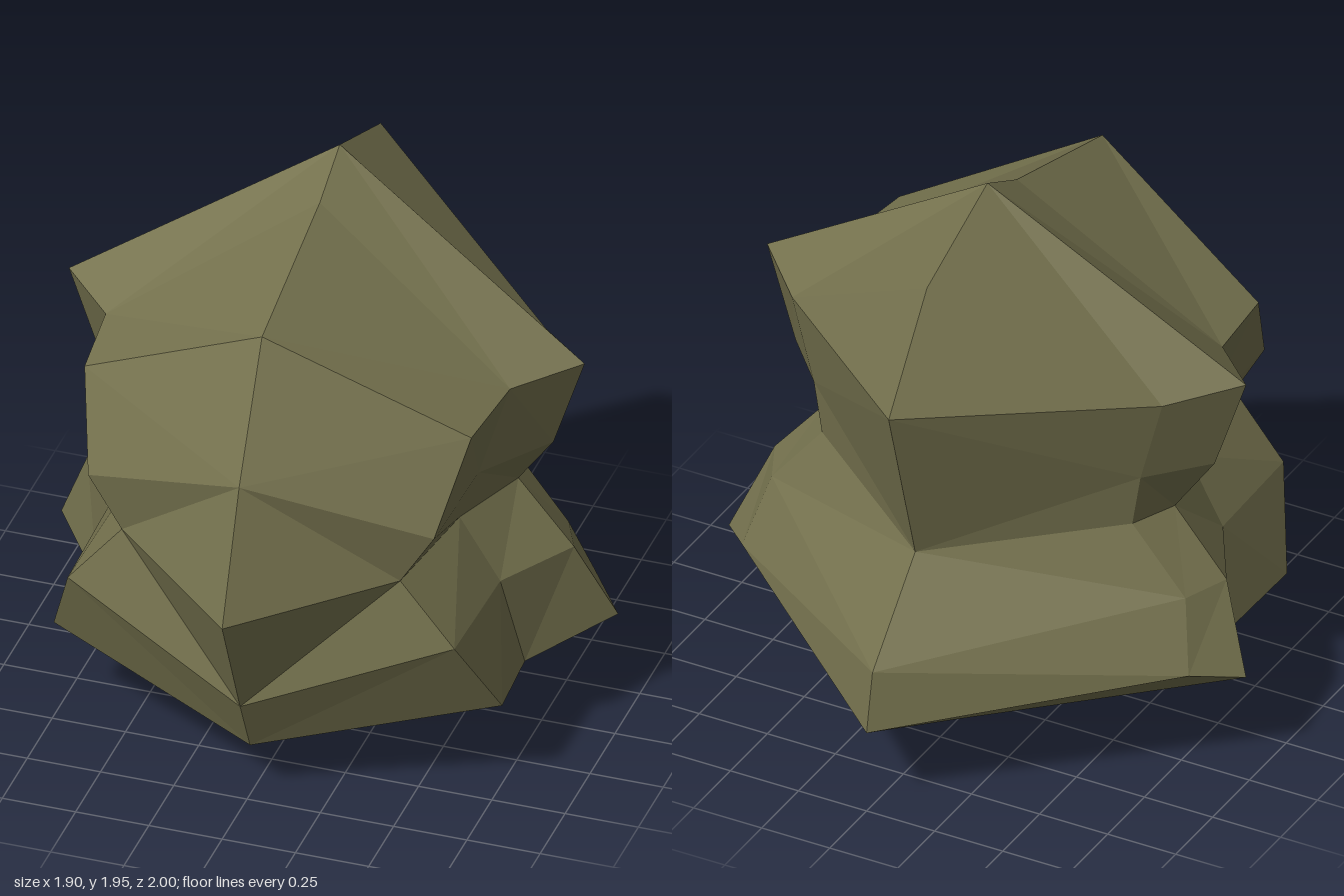
import * as THREE from 'three';

// Faceted boulder, built from cross-section columns running front to back.
// Each column goes from the top centre line, down the side, to the bottom centre line.
const columns = [
  // front centre line
  [[0, 1.69, 0.6], [0, 1.69, 0.6], [0, 1.25, 0.83], [0, 0.81, 1], [0, 0.4, 0.82], [0, 0.19, 0.72], [0, 0.19, 0.72]],
  // front corner
  [[0, 1.69, 0.6], [0.66, 1.34, 0.44], [0.59, 1.04, 0.61], [0.475, 0.855, 0.61], [0.66, 0.63, 0.61], [0.765, 0.33, 0.44], [0, 0.19, 0.72]],
  // crease between the two lumps
  [[0, 1.85, 0.02], [0.69, 1.35, 0.14], [0.6, 1.04, 0.19], [0.535, 0.855, 0.19], [0.67, 0.63, 0.18], [0.73, 0.29, 0.11], [0, 0.09, 0.15]],
  // widest ridge
  [[0, 1.95, -0.18], [0.88, 1.37, -0.05], [0.77, 1.04, -0.06], [0.64, 0.855, -0.09], [0.83, 0.63, -0.09], [0.95, 0.34, -0.18], [0, 0, -0.38]],
  // back corner
  [[0, 1.78, -0.59], [0.68, 1.34, -0.25], [0.6, 1.04, -0.25], [0.57, 0.855, -0.25], [0.76, 0.62, -0.24], [0.82, 0.39, -0.33], [0, 0.3, -1]],
  // back centre line
  [[0, 1.78, -0.59], [0, 1.78, -0.59], [0, 1.42, -0.85], [0, 0.81, -0.67], [0, 0.51, -0.96], [0, 0.3, -1], [0, 0.3, -1]],
].map((column) => column.map((p) => new THREE.Vector3(...p)));

function rockGeometry() {
  const positions = [];

  // One triangle on the left and its mirror image on the right
  const addTriangle = (a, b, c) => {
    if (new THREE.Triangle(a, b, c).getArea() < 1e-6) return;
    for (const p of [a, b, c]) positions.push(p.x, p.y, p.z);
    for (const p of [a, c, b]) positions.push(-p.x, p.y, p.z);
  };

  for (let i = 0; i < columns.length - 1; i++) {
    for (let j = 0; j < 6; j++) {
      const a = columns[i][j], b = columns[i][j + 1];
      const c = columns[i + 1][j + 1], d = columns[i + 1][j];
      // Split each facet along its shorter diagonal
      if (a.distanceTo(c) < b.distanceTo(d)) {
        addTriangle(a, b, c);
        addTriangle(a, c, d);
      } else {
        addTriangle(a, b, d);
        addTriangle(b, c, d);
      }
    }
  }

  const geometry = new THREE.BufferGeometry();
  geometry.setAttribute('position', new THREE.Float32BufferAttribute(positions, 3));
  geometry.computeVertexNormals();
  return geometry;
}

export function createModel() {
  const stone = new THREE.MeshStandardMaterial({ color: 0x75724e, flatShading: true });
  stone.name = 'mossy stone';

  const group = new THREE.Group();
  group.name = 'boulder';
  const rock = new THREE.Mesh(rockGeometry(), stone);
  rock.name = 'rock';
  group.add(rock);
  return group;
}
